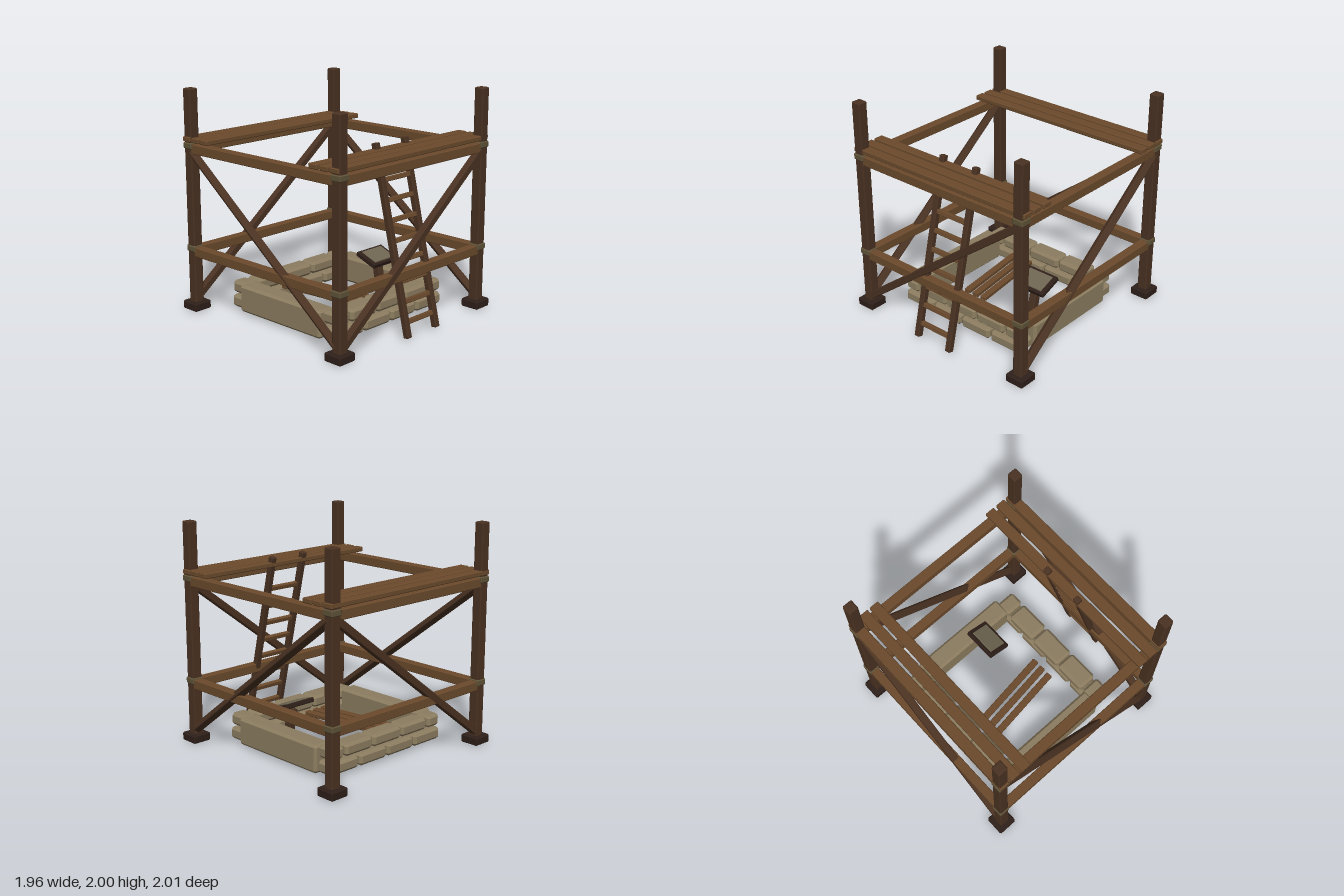
import * as THREE from 'three';
import { ConvexGeometry } from 'three/addons/geometries/ConvexGeometry.js';

const mat = (color) => new THREE.MeshStandardMaterial({ color, flatShading: true });
const postWood = mat(0x4a3222), plankWood = mat(0x6b4a2c), darkWood = mat(0x2e1f19);
const stone = mat(0x8c7d60), binding = mat(0x5f5338), slate = mat(0x6e6651);

// Box with every edge chamfered by c
function chamferBox(w, h, d, c) {
  const pts = [];
  for (const sx of [-1, 1]) for (const sy of [-1, 1]) for (const sz of [-1, 1]) {
    for (let full = 0; full < 3; full++) {
      const half = [w, h, d].map((s, i) => s / 2 - (i === full ? 0 : c));
      pts.push(new THREE.Vector3(sx * half[0], sy * half[1], sz * half[2]));
    }
  }
  return new ConvexGeometry(pts);
}

export function createModel() {
  const model = new THREE.Group();
  const zFront = 0.875, zBack = -0.905, zMid = (zFront + zBack) / 2, xPost = 0.89;

  function block(name, material, size, pos, chamfer = 0.006, parent = model) {
    const mesh = new THREE.Mesh(chamferBox(...size, chamfer), material);
    mesh.name = name;
    mesh.position.set(...pos);
    parent.add(mesh);
    return mesh;
  }

  // Beam whose long axis runs from a to b
  function strut(name, material, a, b, thick) {
    const p = new THREE.Vector3(...a), q = new THREE.Vector3(...b);
    const dir = q.clone().sub(p);
    const mid = p.add(q).multiplyScalar(0.5);
    const mesh = block(name, material, [dir.length(), thick, thick], mid.toArray());
    mesh.quaternion.setFromUnitVectors(new THREE.Vector3(1, 0, 0), dir.normalize());
    return mesh;
  }

  // Corner posts with feet and joint bindings
  for (const x of [-xPost, xPost]) for (const z of [zFront, zBack]) {
    block('post', postWood, [0.092, 1.96, 0.092], [x, 1.02, z], 0.008);
    block('foot', darkWood, [0.18, 0.075, 0.18], [x, 0.0375, z], 0.01);
    for (const y of [0.57, 1.5]) block('jointBinding', binding, [0.108, 0.056, 0.108], [x, y, z], 0.008);
  }

  // Horizontal beams at two levels
  for (const y of [0.543, 1.475]) {
    for (const z of [zFront, zBack]) block('crossBeam', plankWood, [1.76, 0.085, 0.08], [0, y, z]);
    for (const x of [-xPost, xPost]) block('sideBeam', plankWood, [0.085, 0.085, 1.76], [x, y, zMid]);
  }

  // Diagonal braces on all four sides
  for (const z of [zFront + 0.01, zBack - 0.01])
    strut('crossBrace', postWood, [-0.87, 0.11, z], [0.87, 1.44, z], 0.065);
  for (const x of [-0.9, 0.9])
    strut('sideBrace', postWood, [x, 0.11, 0.86], [x, 1.44, -0.89], 0.065);

  // Walkway planks
  for (const z of [0.868, 0.755, 0.635, -0.907, -0.791, -0.677])
    block('walkwayPlank', plankWood, [1.9, 0.043, 0.092], [0, 1.558, z]);

  // Leaning ladder
  const ladder = new THREE.Group();
  ladder.name = 'ladder';
  ladder.position.set(0, 0.825, 0.795);
  ladder.rotation.x = -Math.atan2(0.38, 1.6);
  for (const x of [-0.183, 0.183]) block('ladderRail', postWood, [0.055, 1.65, 0.055], [x, 0, 0], 0.006, ladder);
  for (let i = 0; i < 8; i++)
    block('ladderRung', plankWood, [0.33, 0.04, 0.04], [0, -0.693 + i * 0.172, 0], 0.004, ladder);
  model.add(ladder);

  // Stone foundation: two courses front and back, one long slab on each side
  const lower = [[-0.68, -0.345], [-0.33, -0.007], [0.007, 0.33], [0.345, 0.68]];
  const upper = [[-0.67, -0.52], [-0.5, -0.182], [-0.172, 0.172], [0.182, 0.5], [0.52, 0.67]];
  for (const [z, depth] of [[0.552, 0.192], [-0.582, 0.172]]) {
    for (const [row, y] of [[lower, 0.08], [upper, 0.21]])
      for (const [x0, x1] of row)
        block('foundationStone', stone, [x1 - x0, 0.112, depth], [(x0 + x1) / 2, y, z], 0.025);
  }
  for (const x of [-0.629, 0.627])
    block('foundationSlab', stone, [0.18, 0.25, 0.995], [x, 0.143, -0.02], 0.022);

  // Loose planks inside the foundation
  for (let i = 0; i < 3; i++) {
    const plank = block('loosePlank', plankWood, [0.062, 0.04, 0.775], [-0.23 + i * 0.095, 0.18, -0.03]);
    plank.rotation.y = 0.125;
  }

  // Slanted reading stand
  const standPost = block('standPost', postWood, [0.07, 0.37, 0.07], [0.415, 0.195, 0.135]);
  standPost.rotation.x = -0.19;
  const board = new THREE.Group();
  board.name = 'standBoard';
  board.position.set(0.415, 0.408, 0.105);
  board.rotation.x = 0.36;
  block('boardFrame', darkWood, [0.33, 0.042, 0.235], [0, 0, 0], 0.006, board);
  block('boardPanel', slate, [0.255, 0.02, 0.18], [0, 0.022, 0], 0.004, board);
  model.add(board);

  return model;
}
